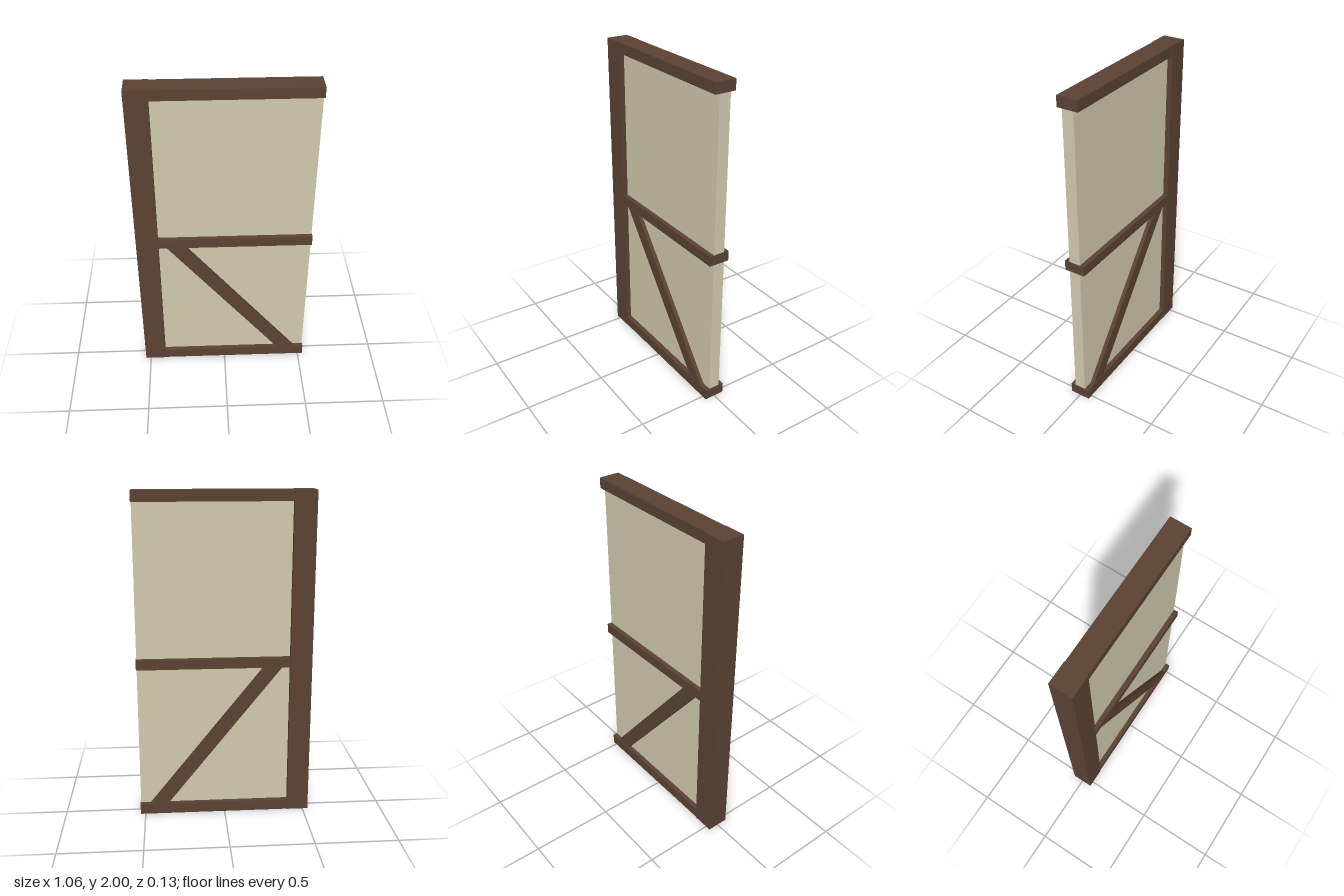
import * as THREE from 'three';

export function createModel() {
  const group = new THREE.Group();
  const timber = new THREE.MeshStandardMaterial({ name: 'darkTimber', color: 0x5a4233 });
  const plaster = new THREE.MeshStandardMaterial({ name: 'creamPlaster', color: 0xd1c9ae });

  // Box given by its x and y extents, centred in depth
  const box = (name, material, x0, x1, y0, y1, depth) => {
    const mesh = new THREE.Mesh(new THREE.BoxGeometry(x1 - x0, y1 - y0, depth), material);
    mesh.position.set((x0 + x1) / 2, (y0 + y1) / 2, 0);
    mesh.name = name;
    group.add(mesh);
  };

  // Infill wall between the timbers
  box('plasterPanel', plaster, -0.42, 0.528, 0.03, 1.97, 0.07);

  // Upright post and three horizontal rails
  box('cornerPost', timber, -0.533, -0.4, 0, 2, 0.134);
  box('bottomRail', timber, -0.402, 0.531, 0, 0.067, 0.128);
  box('middleRail', timber, -0.402, 0.531, 0.95, 1.012, 0.128);
  box('topRail', timber, -0.402, 0.531, 1.937, 2, 0.128);

  // Diagonal brace, its ends tucked into the rails
  const outline = new THREE.Shape([
    [0.368, 0.05], [0.479, 0.05], [-0.256, 0.97], [-0.367, 0.97],
  ].map(([x, y]) => new THREE.Vector2(x, y)));
  const braceGeometry = new THREE.ExtrudeGeometry(outline, { depth: 0.12, bevelEnabled: false });
  braceGeometry.translate(0, 0, -0.06);
  const brace = new THREE.Mesh(braceGeometry, timber);
  brace.name = 'diagonalBrace';
  group.add(brace);

  return group;
}
